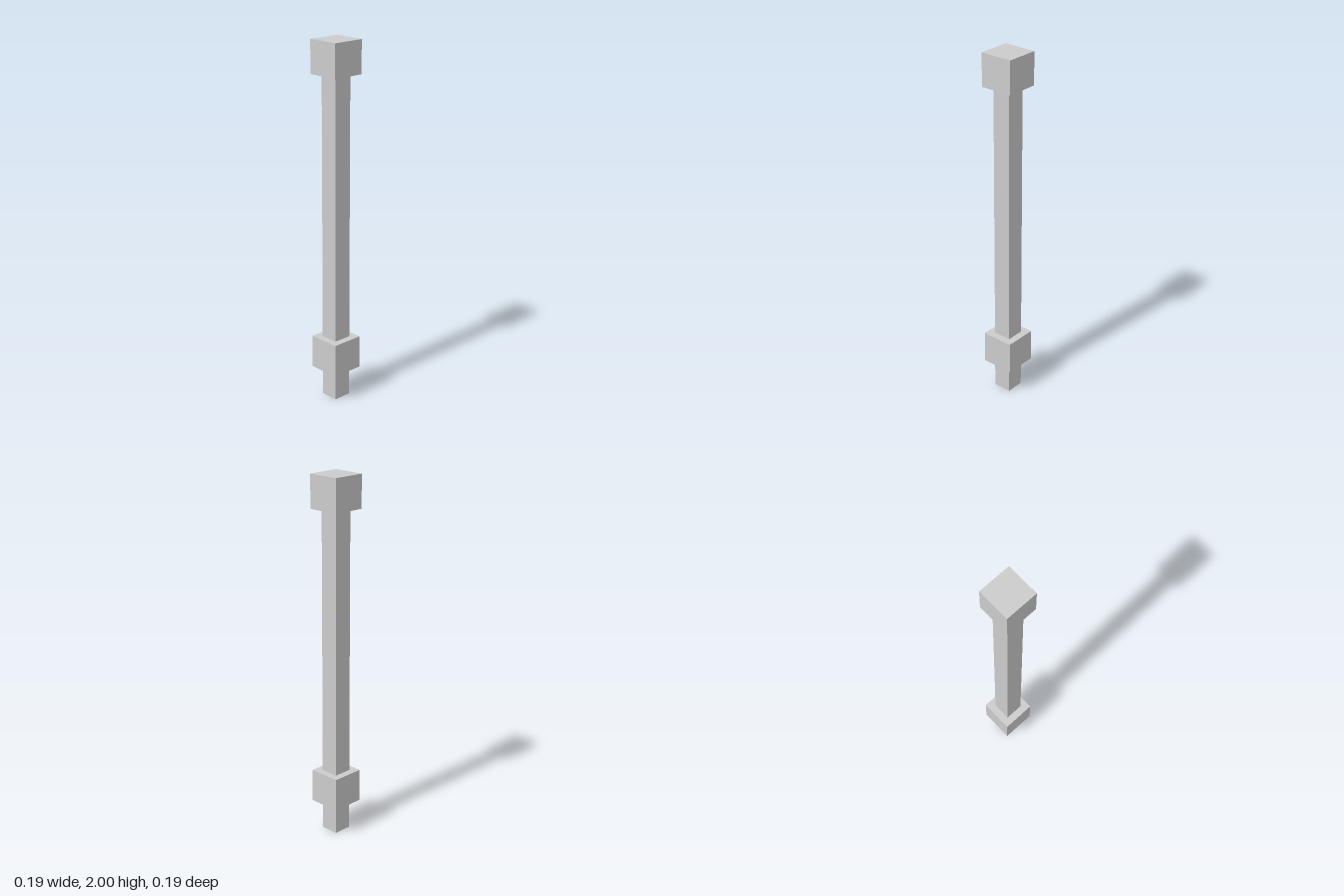
import * as THREE from 'three';

export function createModel() {
  const group = new THREE.Group();
  const material = new THREE.MeshStandardMaterial({ color: 0xcccccc, flatShading: true });

  // Square block spanning two heights, centred on the vertical axis
  const addBlock = (name, width, bottom, top) => {
    const mesh = new THREE.Mesh(new THREE.BoxGeometry(width, top - bottom, width), material);
    mesh.name = name;
    mesh.position.y = (bottom + top) / 2;
    group.add(mesh);
  };

  // Post runs from the ground to the underside of the cap
  addBlock('post', 0.104, 0, 1.82);
  addBlock('lowerCollar', 0.185, 0.168, 0.353);
  addBlock('topCap', 0.185, 1.82, 2);

  return group;
}
